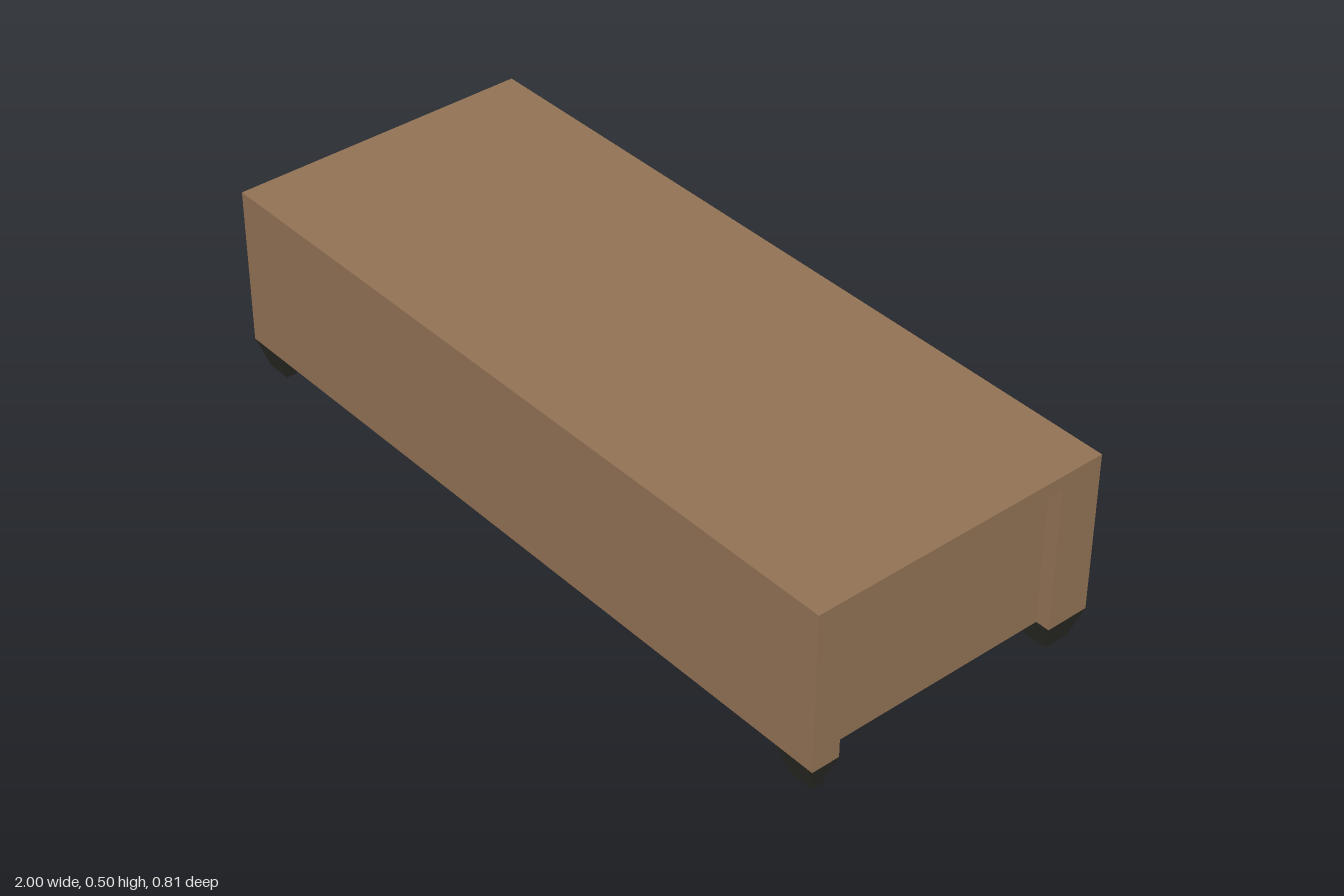
import * as THREE from 'three';

const wood = new THREE.MeshStandardMaterial({ color: 0x927254 });
wood.name = 'brown wood';
const dark = new THREE.MeshStandardMaterial({ color: 0x2b2b26 });
dark.name = 'dark metal';

// Overall half sizes and heights
const X = 1, Z = 0.403, BOTTOM = 0.078, RAIL = 0.465, TOP = 0.5;
const POST_X = 0.115, POST_FRONT = 0.075, POST_BACK = 0.115, RECESS = 0.037;

function box(name, material, w, h, d, x, y, z) {
  const mesh = new THREE.Mesh(new THREE.BoxGeometry(w, h, d), material);
  mesh.name = name;
  mesh.position.set(x, y, z);
  return mesh;
}

// Square block whose lower end is drawn in evenly on all sides
function makeFoot(w, d, inset) {
  const g = new THREE.BoxGeometry(w, BOTTOM, d);
  const p = g.attributes.position;
  for (let i = 0; i < p.count; i++) {
    if (p.getY(i) > 0) continue;
    p.setX(i, p.getX(i) - Math.sign(p.getX(i)) * inset);
    p.setZ(i, p.getZ(i) - Math.sign(p.getZ(i)) * inset);
  }
  const flat = g.toNonIndexed();
  flat.computeVertexNormals();
  return new THREE.Mesh(flat, dark);
}

export function createModel() {
  const model = new THREE.Group();
  model.name = 'lowChest';

  // Carcass: plan outline with the side and back panels set in between the posts
  const half = [
    [X, -Z], [X, -Z + POST_FRONT], [X - RECESS, -Z + POST_FRONT],
    [X - RECESS, Z - POST_BACK], [X, Z - POST_BACK], [X, Z],
    [X - POST_X, Z], [X - POST_X, Z - RECESS],
  ];
  const outline = [...half, ...half.map(([x, y]) => [-x, y]).reverse()];
  const plan = new THREE.Shape(outline.map(([x, y]) => new THREE.Vector2(x, y)));
  const carcassGeometry = new THREE.ExtrudeGeometry(plan, { depth: RAIL - BOTTOM, bevelEnabled: false });
  carcassGeometry.rotateX(-Math.PI / 2);
  const carcass = new THREE.Mesh(carcassGeometry, wood);
  carcass.name = 'carcass';
  carcass.position.y = BOTTOM;
  model.add(carcass);

  // Top slab
  model.add(box('top', wood, 2 * X, TOP - RAIL, 2 * Z, 0, (TOP + RAIL) / 2, 0));

  // Tapered feet under the four posts
  for (const side of [1, -1]) {
    for (const [name, depth, dir] of [['frontFoot', POST_FRONT, 1], ['backFoot', POST_BACK, -1]]) {
      const foot = makeFoot(POST_X, depth, 0.024);
      foot.name = name;
      foot.position.set(side * (X - POST_X / 2), BOTTOM / 2, dir * (Z - depth / 2));
      model.add(foot);
    }
  }

  // Four drawers on the back, each with two pulls
  const panelZ = -Z + RECESS, faceZ = -Z + 0.02;
  for (const x of [0.479, -0.431]) {
    for (const y of [0.347, 0.189]) {
      const drawer = new THREE.Group();
      drawer.name = 'drawer';
      drawer.add(box('drawerFront', wood, 0.755, 0.124, panelZ - faceZ, x, y, (panelZ + faceZ) / 2));
      for (const offset of [0.254, -0.186]) {
        drawer.add(box('drawerPull', dark, 0.075, 0.02, 0.01, x + offset, y - 0.001, faceZ - 0.005));
      }
      model.add(drawer);
    }
  }
  return model;
}
